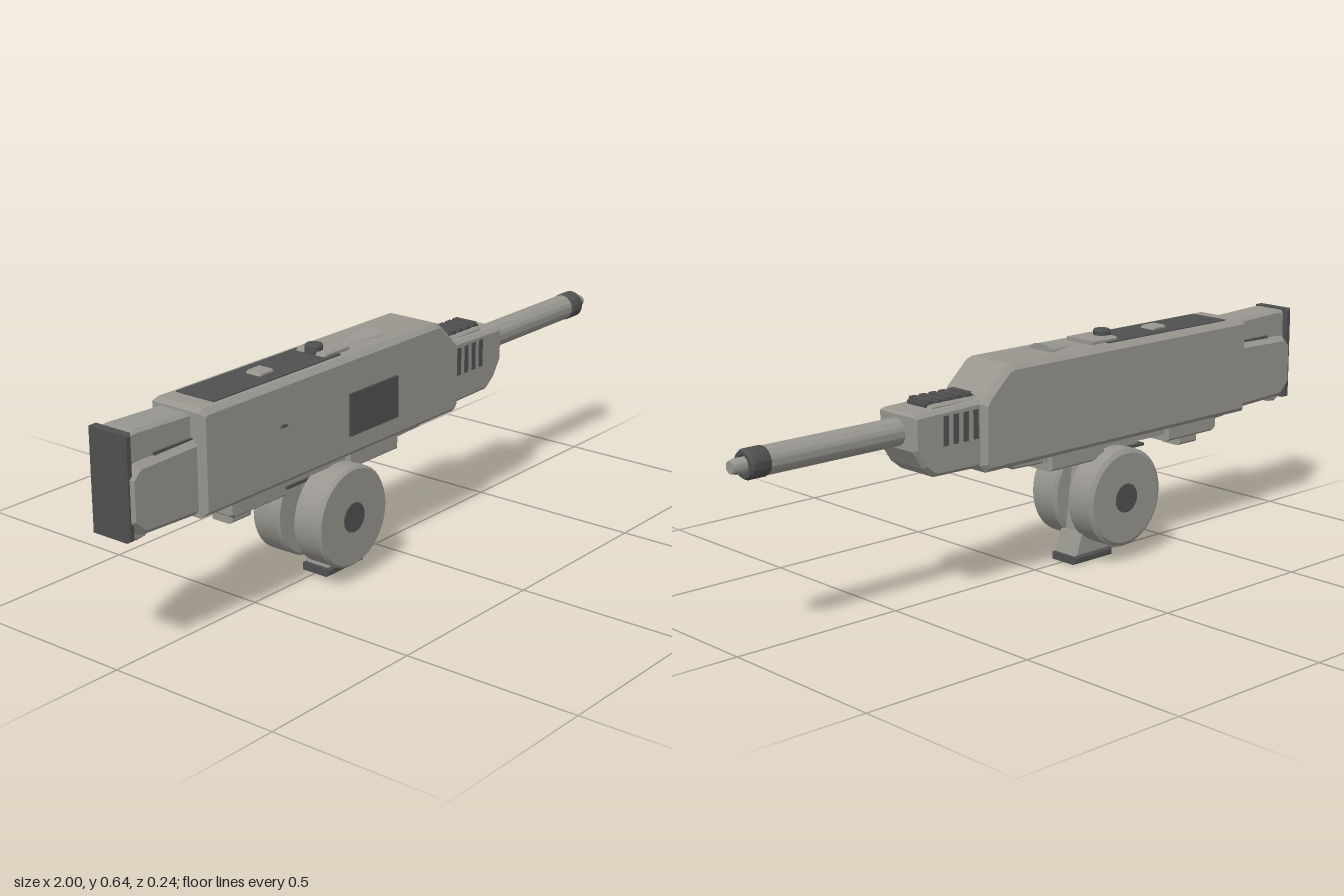
import * as THREE from 'three';
import { toCreasedNormals } from 'three/addons/utils/BufferGeometryUtils.js';

export function createModel() {
  const model = new THREE.Group();
  const grey = new THREE.MeshStandardMaterial({ color: 0x98968f });
  grey.name = 'warm grey';
  const dark = new THREE.MeshStandardMaterial({ color: 0x505050 });
  dark.name = 'dark grey';

  function add(name, geometry, material = grey) {
    const mesh = new THREE.Mesh(geometry, material);
    mesh.name = name;
    model.add(mesh);
    return mesh;
  }

  // Side outline in x and y, extruded evenly about z = 0 with chamfered edges
  function slab(name, points, halfZ, bevel, material = grey) {
    const shape = new THREE.Shape(points.map(([x, y]) => new THREE.Vector2(x, y)));
    const geometry = new THREE.ExtrudeGeometry(shape, {
      depth: 2 * (halfZ - bevel), bevelEnabled: bevel > 0, bevelSize: bevel,
      bevelThickness: bevel, bevelOffset: -bevel, bevelSegments: 1,
    });
    geometry.translate(0, 0, bevel - halfZ);
    return add(name, geometry, material);
  }

  const rect = (x0, x1, y0, y1) => [[x0, y0], [x1, y0], [x1, y1], [x0, y1]];

  function box(name, x0, x1, y0, y1, z0, z1, material = grey) {
    const geometry = new THREE.BoxGeometry(x1 - x0, y1 - y0, z1 - z0);
    geometry.translate((x0 + x1) / 2, (y0 + y1) / 2, (z0 + z1) / 2);
    return add(name, geometry, material);
  }

  // Turned part: profile of [radius, position along the axis]
  function turned(name, profile, axis, x, y, z, material = grey) {
    const points = profile.map(([r, h]) => new THREE.Vector2(r, h));
    const geometry = toCreasedNormals(new THREE.LatheGeometry(points, 40), 0.5);
    if (axis === 'x') geometry.rotateZ(-Math.PI / 2);
    if (axis === 'z') geometry.rotateX(Math.PI / 2);
    geometry.translate(x, y, z);
    return add(name, geometry, material);
  }

  // Main housing
  slab('mainHousing', [[-0.77, 0.34], [0.25, 0.34], [0.265, 0.36], [0.265, 0.525],
    [0.245, 0.55], [0.18, 0.61], [0.16, 0.617], [-0.75, 0.617], [-0.77, 0.61]], 0.089, 0.014);
  box('sidePanel', -0.22, -0.02, 0.4, 0.517, 0.088, 0.095, dark);
  slab('sideButton', [[-0.492, 0.498], [-0.465, 0.498], [-0.472, 0.505], [-0.485, 0.505]],
    0.003, 0, dark).position.z = 0.092;

  // Fore end with side vents and top ribs
  slab('foreEnd', [[0.23, 0.355], [0.42, 0.358], [0.455, 0.385], [0.487, 0.435],
    [0.487, 0.525], [0.475, 0.53], [0.23, 0.537]], 0.073, 0.01);
  slab('foreEndTop', [[0.25, 0.52], [0.43, 0.52], [0.41, 0.542], [0.25, 0.542]], 0.05, 0.006);
  for (let i = 0; i < 4; i++) {
    const x = 0.272 + i * 0.034;
    for (const side of [-1, 1]) {
      box('sideVent', x, x + 0.017, 0.436, 0.515, side * 0.073 - 0.002, side * 0.073 + 0.002, dark);
    }
  }
  for (let i = 0; i < 5; i++) {
    const x = 0.26 + i * 0.033;
    slab('topRib', [[x, 0.535], [x + 0.024, 0.535], [x + 0.022, 0.554], [x + 0.002, 0.554]], 0.038, 0.003, dark);
  }
  box('ribBed', 0.255, 0.42, 0.535, 0.545, -0.036, 0.036, dark);

  // Barrel
  turned('barrel', [[0, 0.47], [0.037, 0.47], [0.037, 0.91], [0, 0.91]], 'x', 0, 0.478, 0);
  turned('muzzleCollar', [[0.03, 0.903], [0.037, 0.903], [0.039, 0.908], [0.039, 0.955],
    [0.034, 0.963], [0.024, 0.963], [0.024, 0.94], [0, 0.94]], 'x', 0, 0.478, 0, dark);
  turned('muzzleTip', [[0, 0.935], [0.02, 0.935], [0.02, 0.985], [0.016, 1], [0, 1]], 'x', 0, 0.478, 0);

  // Rear stock
  slab('stockUpper', [[-0.985, 0.5], [-0.75, 0.5], [-0.75, 0.602], [-0.78, 0.607],
    [-0.95, 0.613], [-0.985, 0.61]], 0.05, 0.008);
  slab('stockLower', [[-0.995, 0.39], [-0.955, 0.352], [-0.75, 0.345], [-0.75, 0.54],
    [-0.965, 0.535], [-0.995, 0.505]], 0.07, 0.014);
  box('stockSeam', -0.9, -0.77, 0.535, 0.544, -0.056, 0.056, dark);
  slab('buttPlate', rect(-1, -0.975, 0.345, 0.615), 0.062, 0.006, dark);
  slab('stockToe', [[-0.975, 0.345], [-0.955, 0.335], [-0.925, 0.338], [-0.91, 0.37], [-0.975, 0.37]], 0.045, 0.005);
  slab('stockUnderside', [[-0.79, 0.348], [-0.72, 0.328], [-0.62, 0.322], [-0.62, 0.36], [-0.79, 0.36]], 0.05, 0.005);

  // Top cover and fittings
  box('topPanel', -0.7, -0.22, 0.614, 0.62, -0.063, 0.063, dark);
  slab('topCatch', [[-0.495, 0.615], [-0.43, 0.615], [-0.44, 0.628], [-0.485, 0.628]], 0.025, 0.004);
  slab('sightBase', [[-0.275, 0.61], [-0.165, 0.61], [-0.165, 0.629], [-0.265, 0.629]], 0.05, 0.004);
  turned('sightKnob', [[0, 0.62], [0.024, 0.62], [0.024, 0.641], [0.021, 0.645], [0, 0.645]],
    'y', -0.254, 0, 0, dark);
  const hood = new THREE.CylinderGeometry(0.045, 0.012, 0.12, 32);
  hood.rotateZ(-Math.PI / 2);
  // Widen quickly from the tip, then run straight
  const p = hood.attributes.position;
  for (let i = 0; i < p.count; i++) {
    p.setXYZ(i, p.getX(i), p.getY(i) * 0.5, p.getZ(i));
  }
  hood.computeVertexNormals();
  hood.translate(-0.08, 0.614, 0);
  add('frontSight', toCreasedNormals(hood, 0.5));

  // Underside rail and blocks
  slab('rearRailBlock', [[-0.66, 0.31], [-0.645, 0.3], [-0.45, 0.3], [-0.45, 0.345], [-0.66, 0.345]], 0.073, 0.006);
  slab('rearCatch', rect(-0.62, -0.54, 0.266, 0.31), 0.035, 0.006);
  box('underRail', -0.46, 0.02, 0.32, 0.345, -0.06, 0.06);
  box('triggerPlate', -0.4, -0.25, 0.291, 0.299, -0.03, 0.03, dark);
  box('triggerPlateStem', -0.38, -0.3, 0.298, 0.325, -0.02, 0.02);
  slab('frontRailBlock', [[-0.2, 0.306], [-0.19, 0.296], [0.01, 0.296], [0.01, 0.345], [-0.2, 0.345]], 0.073, 0.006);
  slab('foreRail', [[0, 0.318], [0.13, 0.322], [0.155, 0.345], [0, 0.345]], 0.055, 0.005);

  // Twin drums with hubs
  for (const side of [-1, 1]) {
    const drum = turned('drum', [[0, -0.047], [0.128, -0.047], [0.14, -0.039], [0.14, 0.039],
      [0.133, 0.047], [0, 0.047]], 'z', -0.237, 0.185, 0);
    drum.position.z = side * 0.071;
    if (side < 0) drum.rotation.y = 0;
    turned('drumHub', [[0, -0.003], [0.041, -0.003], [0.041, 0.003], [0, 0.003]],
      'z', -0.237, 0.185, side * 0.118, dark);
  }

  // Centre stem, flared foot and base plate
  slab('drumStem', [[-0.24, 0.08], [-0.14, 0.08], [-0.17, 0.33], [-0.31, 0.33]], 0.028, 0.006);
  slab('stemFoot', [[-0.25, 0.02], [-0.115, 0.02], [-0.135, 0.085], [-0.235, 0.09]], 0.042, 0.006);
  slab('basePlate', rect(-0.26, -0.107, 0, 0.022), 0.046, 0.005, dark);

  return model;
}
